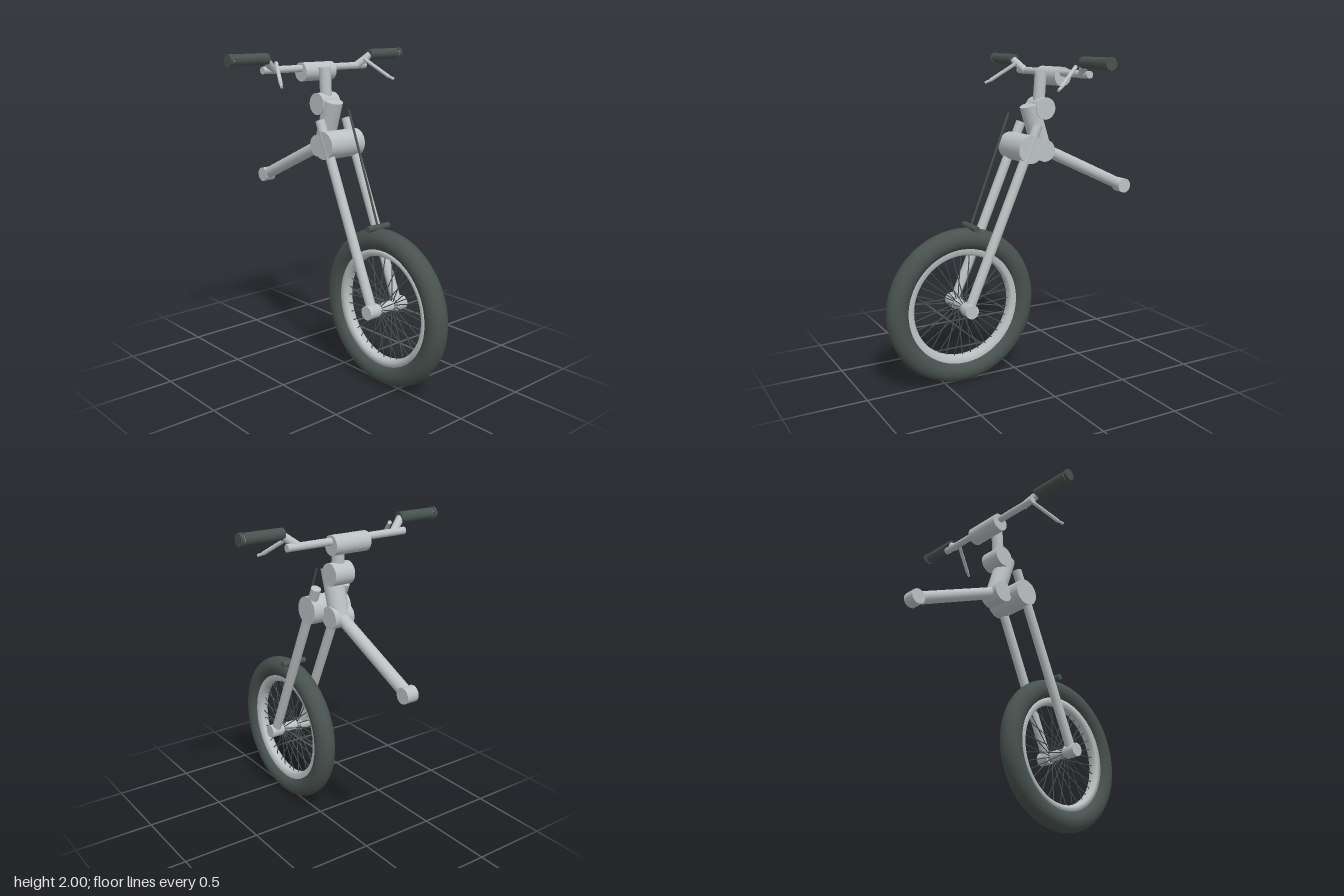
import * as THREE from 'three';

const metal = new THREE.MeshStandardMaterial({ color: 0xbcc2c3 });
metal.name = 'light grey metal';
const rubber = new THREE.MeshStandardMaterial({ color: 0x48524f });
rubber.name = 'dark rubber';

export function createModel() {
  const model = new THREE.Group();
  model.name = 'bicycleFrontEnd';

  const add = (name, geometry, material, parent = model) => {
    const mesh = new THREE.Mesh(geometry, material);
    mesh.name = name;
    parent.add(mesh);
    return mesh;
  };

  // Round bar between two points
  const bar = (name, from, to, r, material = metal, sides = 24, parent = model) => {
    const a = new THREE.Vector3(...from), b = new THREE.Vector3(...to);
    const mesh = add(name, new THREE.CylinderGeometry(r, r, a.distanceTo(b), sides), material, parent);
    mesh.position.copy(a).add(b).multiplyScalar(0.5);
    mesh.quaternion.setFromUnitVectors(new THREE.Vector3(0, 1, 0), b.sub(a).normalize());
    return mesh;
  };

  // Sideways barrel centred on the middle plane
  const barrel = (name, x, y, r, half, material = metal) =>
    bar(name, [x, y, -half], [x, y, half], r, material, 40);

  // Wheel
  const wheel = new THREE.Group();
  wheel.name = 'wheel';
  wheel.position.set(0.373, 0.49, 0);
  model.add(wheel);
  add('tyre', new THREE.TorusGeometry(0.422, 0.067, 24, 72), rubber, wheel);

  const rimProfile = [
    [0.365, -0.035], [0.335, -0.035], [0.322, -0.018], [0.322, 0.018],
    [0.335, 0.035], [0.365, 0.035], [0.365, -0.035],
  ].map(([r, z]) => new THREE.Vector2(r, z)).reverse();
  const rimMaterial = metal.clone();
  rimMaterial.name = 'light grey rim';
  rimMaterial.side = THREE.DoubleSide;
  add('rim', new THREE.LatheGeometry(rimProfile, 72).rotateX(Math.PI / 2), rimMaterial, wheel);

  // Crossing spokes, alternating between the two hub ends
  const spokeCount = 36;
  for (let i = 0; i < spokeCount; i++) {
    const a = i / spokeCount * Math.PI * 2;
    const z = i % 2 ? 0.055 : -0.055;
    bar('spoke', [Math.cos(a) * 0.02, Math.sin(a) * 0.02, z],
      [Math.cos(a) * 0.33, Math.sin(a) * 0.33, 0], 0.0032, rubber, 6, wheel);
  }
  bar('hub', [0, 0, -0.13], [0, 0, 0.13], 0.032, metal, 24, wheel);

  // Frame barrels and tubes
  barrel('forkCrown', -0.045, 1.443, 0.086, 0.133);
  barrel('lowerPivot', -0.183, 1.42, 0.068, 0.068);
  barrel('upperPivot', -0.183, 1.68, 0.068, 0.068);
  bar('headTube', [-0.195, 1.42, 0], [-0.104, 1.702, 0], 0.061);
  bar('stem', [-0.17, 1.69, 0], [-0.185, 1.9, 0], 0.037);
  barrel('handlebarClamp', -0.27, 1.873, 0.058, 0.12);
  bar('rearArm', [-0.82, 1.14, 0], [-0.185, 1.435, 0], 0.038);
  barrel('rearArmEnd', -0.82, 1.14, 0.047, 0.038);

  // Mudguard stay and its foot
  bar('stay', [0.04, 1.66, 0], [0.305, 0.98, 0], 0.007, rubber, 12);
  barrel('stayFoot', 0.305, 0.98, 0.019, 0.086, rubber);

  // Handlebar
  bar('handlebar', [-0.268, 1.895, -0.41], [-0.268, 1.895, 0.41], 0.022);

  // Paired parts on both sides
  for (const s of [1, -1]) {
    bar('forkLeg', [0.38, 0.475, s * 0.105], [-0.105, 1.588, s * 0.105], 0.03);
    bar('dropout', [0.373, 0.49, s * 0.07], [0.373, 0.49, s * 0.152], 0.043);
    bar('riser', [-0.268, 1.89, s * 0.325], [-0.225, 1.96, s * 0.415], 0.024);
    bar('grip', [-0.225, 1.965, s * 0.405], [-0.225, 1.965, s * 0.652], 0.034, rubber);
    bar('gripCollar', [-0.225, 1.965, s * 0.648], [-0.225, 1.965, s * 0.66], 0.03);
    bar('gripEnd', [-0.225, 1.965, s * 0.658], [-0.225, 1.965, s * 0.678], 0.037, rubber);
    bar('brakeLever', [-0.21, 1.94, s * 0.35], [-0.06, 1.83, s * 0.43], 0.012, metal, 12);
    bar('leverTip', [-0.07, 1.835, s * 0.425], [-0.03, 1.815, s * 0.447], 0.009, metal, 12);
  }

  return model;
}
